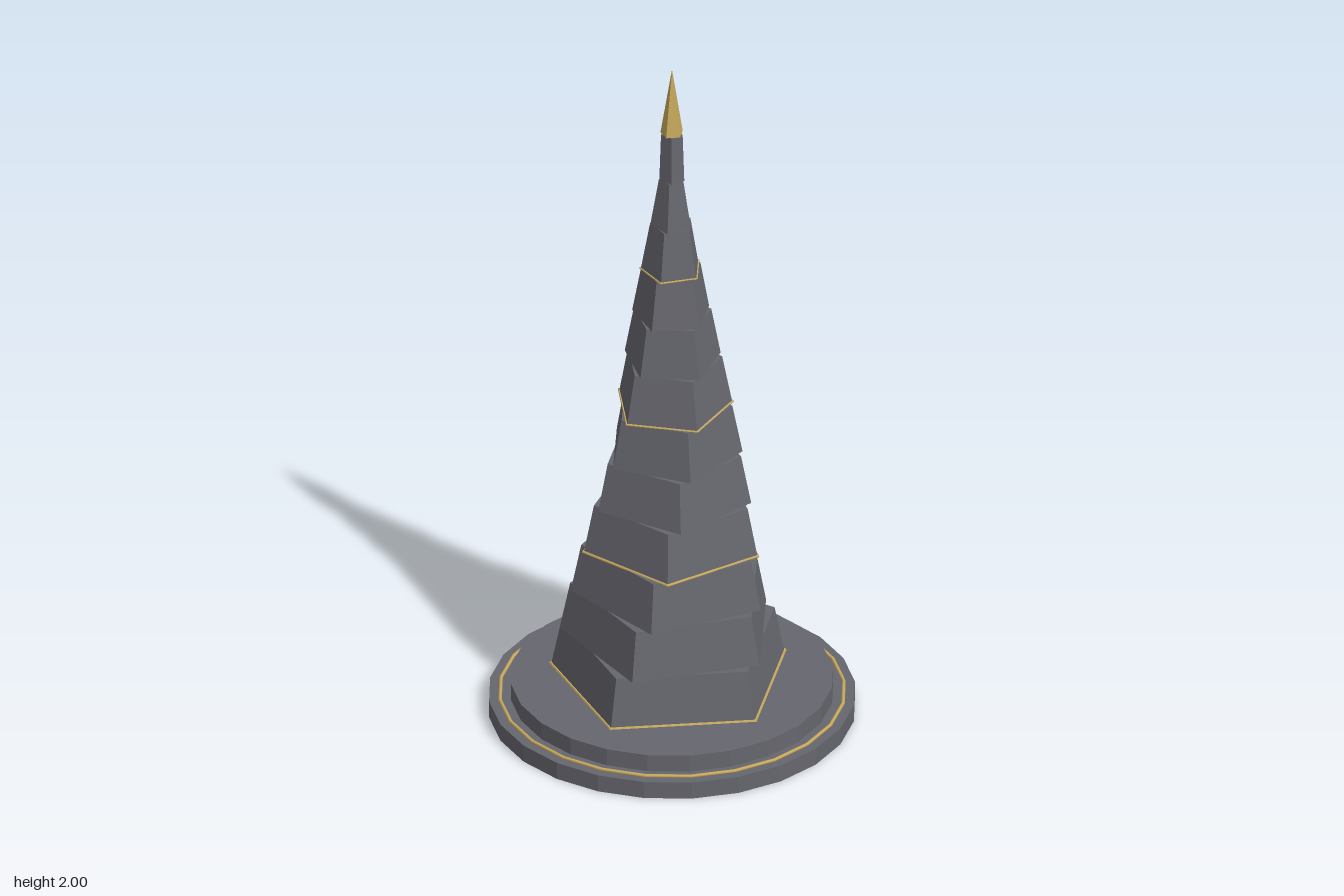
import * as THREE from 'three';

export function createModel() {
  const root = new THREE.Group();
  const stone = new THREE.MeshStandardMaterial({ color: 0x66666e });
  stone.name = 'grey stone';
  const gold = new THREE.MeshStandardMaterial({ color: 0xc8aa5e });
  gold.name = 'gold';
  const iron = new THREE.MeshStandardMaterial({ color: 0x404046 });
  iron.name = 'dark iron';

  // Faceted geometry: every face gets its own normal
  const facet = (geometry) => {
    const flat = geometry.toNonIndexed();
    flat.computeVertexNormals();
    return flat;
  };
  const add = (name, geometry, material, x, y, z, turn = 0) => {
    const mesh = new THREE.Mesh(geometry, material);
    mesh.name = name;
    mesh.position.set(x, y, z);
    mesh.rotation.y = turn;
    root.add(mesh);
    return mesh;
  };
  const drum = (top, bottom, height, sides) =>
    facet(new THREE.CylinderGeometry(top, bottom, height, sides));
  // Horizontal ring whose first corner points to +z, like a cylinder's
  const hoop = (radius, tube, tubeSides, sides) =>
    new THREE.TorusGeometry(radius, tube, tubeSides, sides)
      .rotateZ(Math.PI / 2).rotateX(Math.PI / 2);

  // Stepped round base with an inlaid ring
  add('lowerBase', drum(0.5, 0.5, 0.05, 24), stone, 0, 0.025, 0);
  add('upperBase', drum(0.44, 0.44, 0.05, 24), stone, 0, 0.075, 0);
  add('baseRing', hoop(0.47, 0.005, 8, 24), gold, 0, 0.053, 0);

  // Twisting five-sided tower: each tier turns nine degrees
  const tiers = 12, bottom = 0.1, tierHeight = 1.7 / tiers;
  const radiusAt = (i) => 0.32 * Math.pow(1 - i / tiers, 1.1) + 0.015;
  for (let i = 0; i < tiers; i++) {
    const y = bottom + i * tierHeight;
    const turn = Math.PI + THREE.MathUtils.degToRad(9 * i);
    const top = Math.max(radiusAt(i + 1), 0.031);
    add(`towerTier${i + 1}`, drum(top, radiusAt(i), tierHeight, 5), stone, 0, y + tierHeight / 2, 0, turn);
    // A gold band under every third tier
    if (i % 3 === 0) {
      // The ring's first corner must face -z on the lowest tier
      const band = hoop(radiusAt(i) + 0.002, 0.0045 - i * 0.0002, 6, 5);
      band.computeBoundingBox();
      const box = band.boundingBox;
      if (-box.min.z > box.max.z) band.rotateY(Math.PI);
      add(`towerBand${i / 3 + 1}`, facet(band), gold, 0, y, 0, turn);
    }
  }

  // Gold spire point
  add('spireTip', facet(new THREE.ConeGeometry(0.032, 0.2, 5)), gold, 0, 1.9, 0, Math.PI);

  // Upright hoop behind the tower
  add('gateHoop', new THREE.TorusGeometry(0.11, 0.005, 8, 32), gold, 0, 0.235, -0.338);

  // Small post with rings at the rim
  add('rimPost', new THREE.CylinderGeometry(0.007, 0.007, 0.135, 8), iron, 0.18, 0.1175, -0.435);
  for (let i = 0; i < 3; i++)
    add(`postRing${i + 1}`, hoop(0.015, 0.0025, 6, 12), gold, 0.18, 0.076 + i * 0.023, -0.435);

  return root;
}
